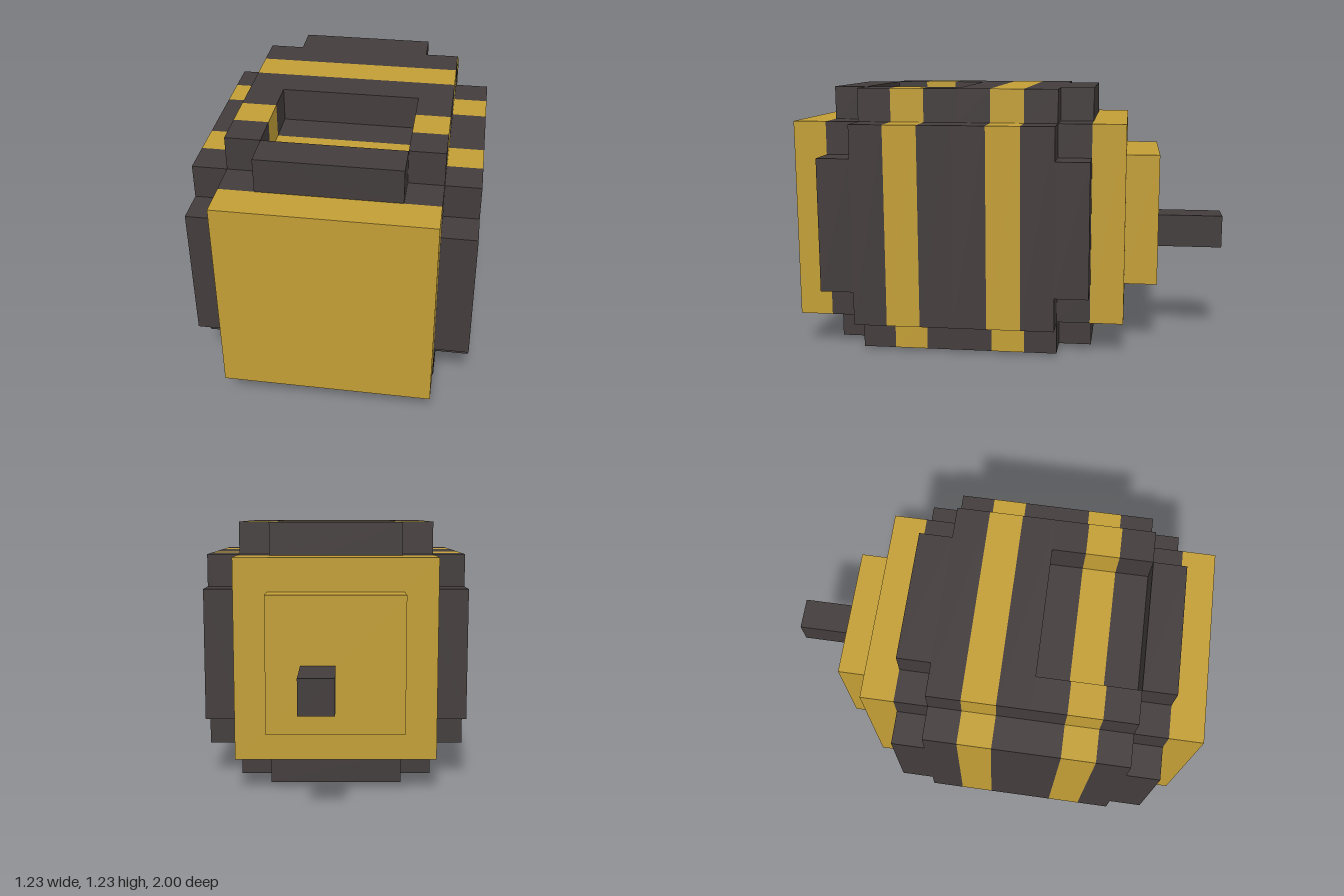
import * as THREE from 'three';

const U = 2 / 13; // one block of the grid

export function createModel() {
  const yellow = new THREE.MeshStandardMaterial({ color: 0xc29e36 });
  yellow.name = 'honey yellow';
  const dark = new THREE.MeshStandardMaterial({ color: 0x433c3c });
  dark.name = 'charcoal';

  const group = new THREE.Group();
  group.name = 'blockBee';

  function add(name, geometry, material) {
    const mesh = new THREE.Mesh(geometry, material);
    mesh.name = name;
    group.add(mesh);
  }

  // Box given by its limits in blocks; z counts backwards from the front
  function block(name, material, [x0, x1], [y0, y1], [k0, k1]) {
    const g = new THREE.BoxGeometry((x1 - x0) * U, (y1 - y0) * U, (k1 - k0) * U);
    g.translate((x0 + x1) / 2 * U, (y0 + y1) / 2 * U, 1 - (k0 + k1) / 2 * U);
    add(name, g, material);
  }

  // Stepped cross-section mirrored from one quarter, with an optional notch on top
  function section(quarter, notched) {
    const back = [...quarter].reverse();
    const notch = notched ? [[2, 4], [2, 3], [-2, 3], [-2, 4]] : [];
    const points = [
      ...quarter,
      ...notch,
      ...back.map(([x, y]) => [-x, y]),
      ...quarter.map(([x, y]) => [-x, -y]),
      ...back.map(([x, y]) => [x, -y]),
    ];
    return new THREE.Shape(points.map(([x, y]) => new THREE.Vector2(x * U, (y + 4) * U)));
  }

  const full = [[4, 3], [3, 3], [3, 4]];
  const tapered = [[4, 2], [3, 2], [3, 3], [2, 3], [2, 4]];
  const end = section(tapered, false);
  const ring = section(full, false);
  const recessed = section(full, true);

  // Striped body, layer by layer from front to back
  const layers = [
    ['frontCollar', end, dark, 1, 2],
    ['frontDarkStripe', recessed, dark, 2, 3],
    ['frontYellowStripe', recessed, yellow, 3, 4],
    ['middleRecessedStripe', recessed, dark, 4, 5],
    ['middleDarkStripe', ring, dark, 5, 6],
    ['rearYellowStripe', ring, yellow, 6, 7],
    ['rearDarkStripe', ring, dark, 7, 8],
    ['rearCollar', end, dark, 8, 9],
  ];
  for (const [name, shape, material, k0, k1] of layers) {
    const g = new THREE.ExtrudeGeometry(shape, { depth: (k1 - k0) * U, bevelEnabled: false });
    g.translate(0, 0, 1 - k1 * U);
    add(name, g, material);
  }

  // Face, stepped tail and sting
  block('face', yellow, [-3, 3], [1, 7], [0, 1]);
  block('tailBase', yellow, [-3, 3], [1, 7], [9, 10]);
  block('tailStep', yellow, [-2, 2], [2, 6], [10, 11]);
  block('sting', dark, [0, 1], [3, 4], [11, 13]);

  return group;
}
